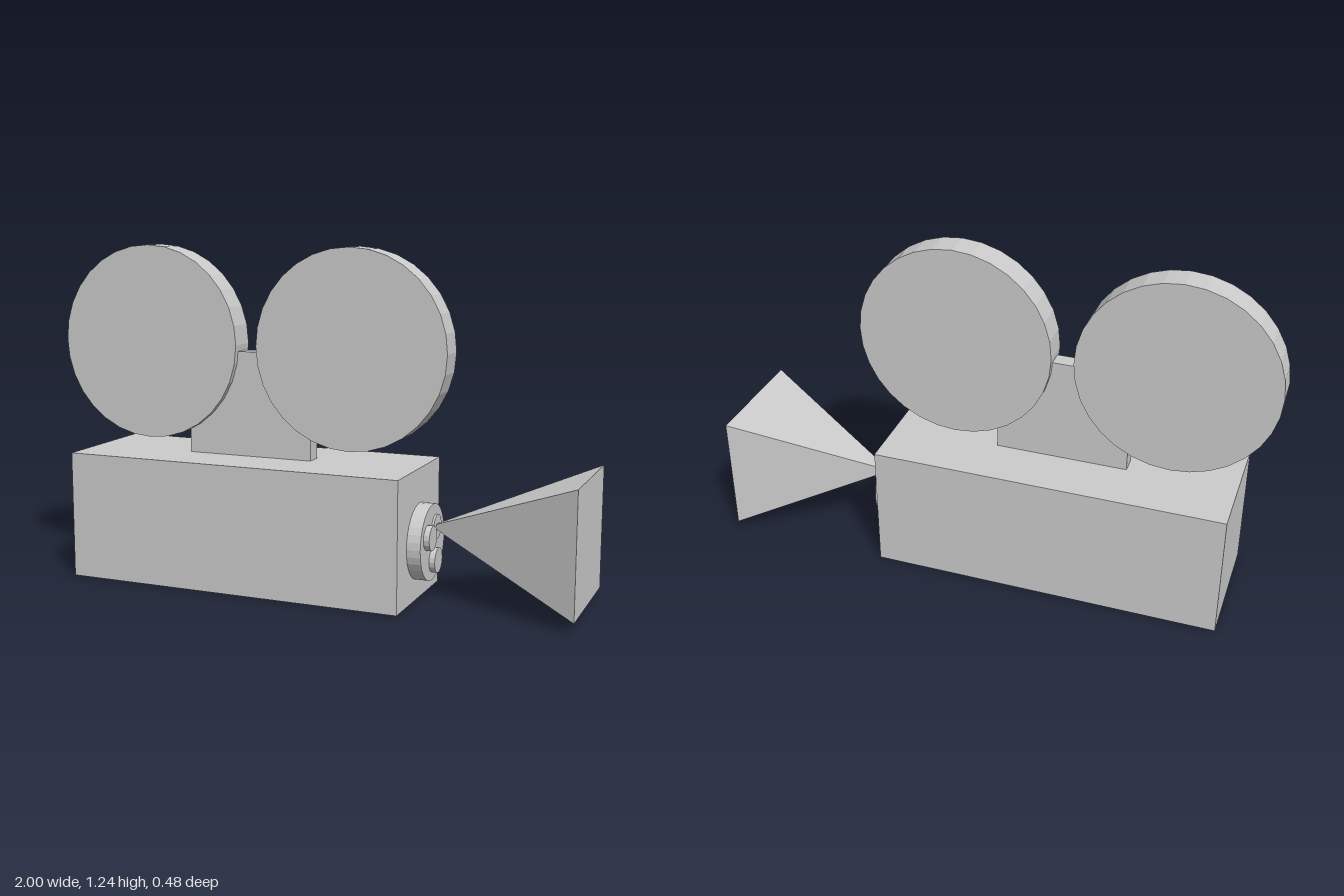
import * as THREE from 'three';

export function createModel() {
  const model = new THREE.Group();
  const material = new THREE.MeshStandardMaterial({ color: 0xcccccc, flatShading: true });

  const add = (name, geometry, x, y, z) => {
    const mesh = new THREE.Mesh(geometry, material);
    mesh.name = name;
    mesh.position.set(x, y, z);
    model.add(mesh);
  };
  // Disc whose axis runs along x, from x0 to x1
  const lensDisc = (name, radius, x0, x1, y, z, sides) =>
    add(name, new THREE.CylinderGeometry(radius, radius, x1 - x0, sides).rotateZ(-Math.PI / 2),
      (x0 + x1) / 2, y, z);

  // Camera body and the plate that carries the reels
  add('body', new THREE.BoxGeometry(1.285, 0.47, 0.46), -0.2375, 0.235, 0.01);
  add('reelBracket', new THREE.BoxGeometry(0.485, 0.395, 0.06), -0.24, 0.6575, 0.013);

  // Film reels
  for (const [name, x] of [['rearReel', -0.64], ['frontReel', 0.158]]) {
    add(name, new THREE.CylinderGeometry(0.359, 0.359, 0.107, 32).rotateX(Math.PI / 2), x, 0.878, 0.0125);
  }

  // Lens turret with three small lenses
  lensDisc('lensTurret', 0.137, 0.395, 0.455, 0.208, 0.007, 32);
  lensDisc('sideLens', 0.045, 0.44, 0.476, 0.237, 0.066, 16);
  lensDisc('lowerLens', 0.045, 0.44, 0.476, 0.143, 0, 16);
  lensDisc('upperLens', 0.045, 0.44, 0.463, 0.257, -0.025, 16);

  // Square lens hood: a pyramid opening towards +x
  const hood = new THREE.ConeGeometry(0.222 * Math.SQRT2, 0.56, 4)
    .rotateY(Math.PI / 4)
    .rotateZ(Math.PI / 2);
  add('lensHood', hood, 0.72, 0.26, -0.018);

  return model;
}
